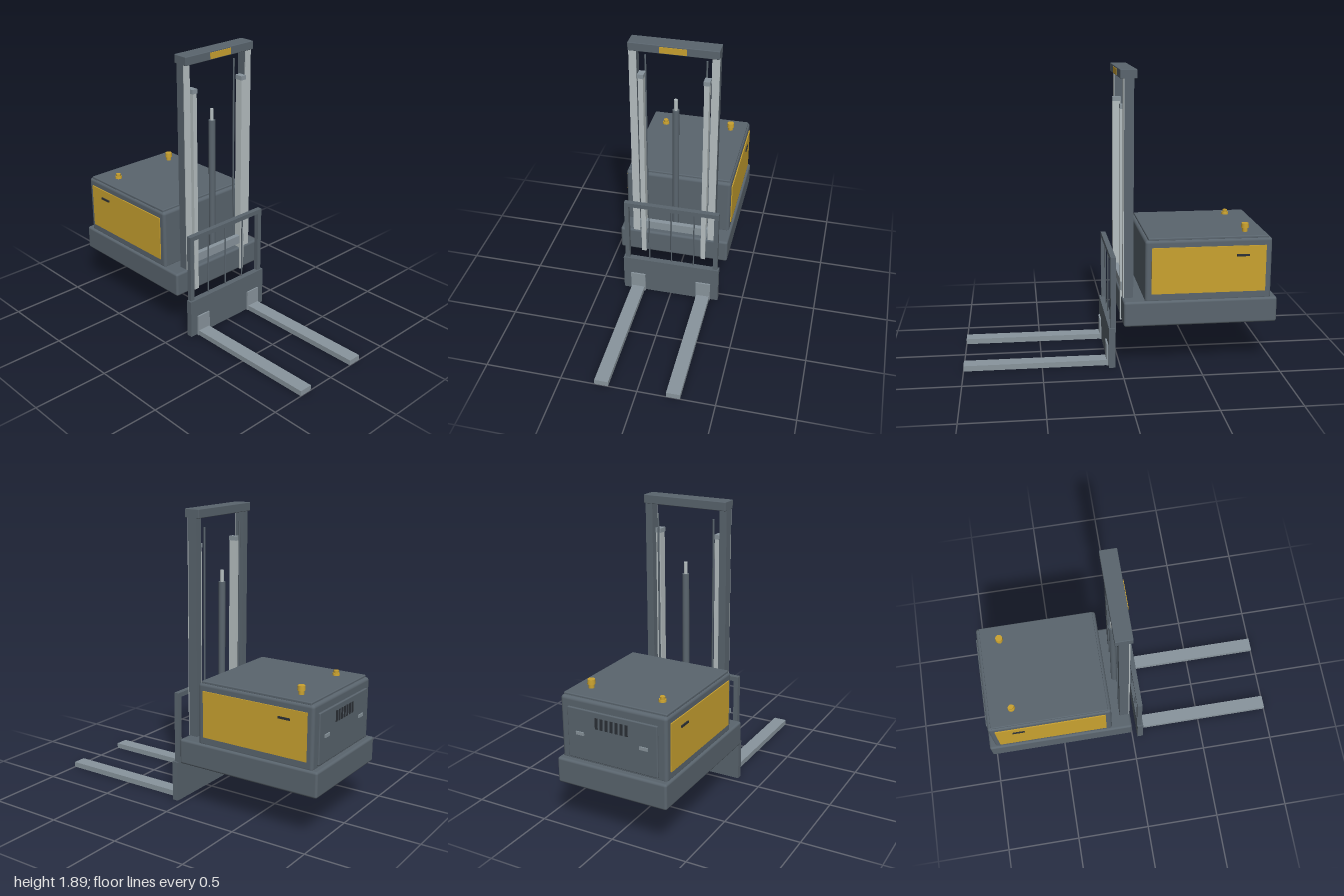
import * as THREE from 'three';
import { RoundedBoxGeometry } from 'three/addons/geometries/RoundedBoxGeometry.js';

const mat = (name, color) => {
  const m = new THREE.MeshStandardMaterial({ color });
  m.name = name;
  return m;
};

export function createModel() {
  const root = new THREE.Group();
  root.name = 'palletStacker';
  const steel = mat('dark slate steel', 0x5a656e);
  const yellow = mat('safety yellow', 0xcaa230);
  const grey = mat('fork grey', 0x89959d);
  const light = mat('bright rail steel', 0xb6bfc1);
  const black = mat('vent black', 0x2b3036);

  const add = (name, geometry, material, x = 0, y = 0, z = 0) => {
    const m = new THREE.Mesh(geometry, material);
    m.name = name;
    m.position.set(x, y, z);
    root.add(m);
    return m;
  };
  // Boxes given by their limits on each axis
  const box = (name, material, x0, x1, y0, y1, z0, z1, r = 0) => {
    const s = [x1 - x0, y1 - y0, z1 - z0];
    const g = r ? new RoundedBoxGeometry(...s, 3, r) : new THREE.BoxGeometry(...s);
    return add(name, g, material, (x0 + x1) / 2, (y0 + y1) / 2, (z0 + z1) / 2);
  };
  // Same box on both sides of the centre line
  const pair = (name, material, x0, x1, y0, y1, z0, z1) => {
    box(name + 'Left', material, x0, x1, y0, y1, z0, z1);
    box(name + 'Right', material, x0, x1, y0, y1, -z1, -z0);
  };
  const cyl = (name, material, r0, r1, y0, y1, x, z, sides = 20) =>
    add(name, new THREE.CylinderGeometry(r1, r0, y1 - y0, sides), material, x, (y0 + y1) / 2, z);

  // Chassis and body
  box('chassis', steel, -1, -0.015, 0.29, 0.455, -0.375, 0.375, 0.015);
  box('body', steel, -0.96, -0.15, 0.44, 0.847, -0.36, 0.36, 0.02);
  box('lid', steel, -0.938, -0.17, 0.84, 0.86, -0.35, 0.35, 0.006);
  pair('sidePanel', yellow, -0.92, -0.19, 0.5, 0.8, 0.359, 0.367);
  pair('panelHandle', black, -0.81, -0.73, 0.733, 0.746, 0.366, 0.374);

  // Service door at the far end, with vents and latches
  box('serviceDoor', steel, -0.972, -0.955, 0.468, 0.79, -0.305, 0.305, 0.006);
  for (let i = 0; i < 7; i++) {
    const z = (i - 3) * 0.034;
    box('ventSlot', black, -0.976, -0.97, 0.685, 0.755, z - 0.009, z + 0.009);
  }
  pair('doorLatch', grey, -0.979, -0.97, 0.625, 0.645, 0.19, 0.245);

  // Stop button and warning beacon
  cyl('beaconBase', yellow, 0.018, 0.018, 0.855, 0.888, -0.808, -0.24);
  cyl('beaconHead', yellow, 0.025, 0.023, 0.885, 0.915, -0.808, -0.24);
  cyl('stopCollar', yellow, 0.024, 0.022, 0.858, 0.875, -0.788, 0.235);
  cyl('stopButton', yellow, 0.016, 0.016, 0.873, 0.892, -0.788, 0.235);

  // Fixed mast
  pair('mastUpright', steel, -0.085, -0.025, 0.44, 1.845, 0.235, 0.283);
  pair('mastFace', light, -0.025, -0.02, 0.455, 1.84, 0.235, 0.283);
  box('mastCrossbar', steel, -0.105, 0, 1.84, 1.895, -0.283, 0.283, 0.004);
  box('mastLabel', yellow, -0.001, 0.004, 1.846, 1.886, -0.085, 0.085);

  // Sliding mast stage, tie bar and hoses
  pair('innerRail', light, -0.06, -0.007, 0.29, 1.66, 0.192, 0.224);
  pair('railCap', grey, -0.062, -0.005, 1.652, 1.68, 0.188, 0.228);
  box('tieBar', grey, -0.045, -0.012, 0.49, 0.548, -0.235, 0.235);
  for (const s of [1, -1]) cyl('liftChain', steel, 0.006, 0.006, 0.45, 1.78, -0.082, s * 0.194, 10);

  // Lift cylinder
  cyl('liftCylinder', steel, 0.022, 0.022, 0.45, 1.415, -0.08, 0);
  cyl('liftRod', light, 0.012, 0.012, 1.41, 1.49, -0.08, 0, 16);

  // Carriage and load guard
  box('carriagePlate', steel, 0.035, 0.075, 0.005, 0.27, -0.335, 0.335);
  pair('guardPost', steel, 0.03, 0.063, 0.24, 0.735, 0.293, 0.323);
  box('guardTop', steel, 0.03, 0.063, 0.705, 0.735, -0.323, 0.323);
  for (const z of [-0.155, 0, 0.155]) cyl('guardBar', steel, 0.005, 0.005, 0.26, 0.71, 0.047, z, 8);

  // Forks: heel plate, shank and long blade
  pair('forkHeel', grey, 0.074, 0.086, 0, 0.145, 0.18, 0.282);
  pair('forkShank', grey, 0.08, 0.31, 0, 0.036, 0.187, 0.277);
  pair('forkBlade', grey, 0.31, 1, 0, 0.036, 0.187, 0.277);

  return root;
}
